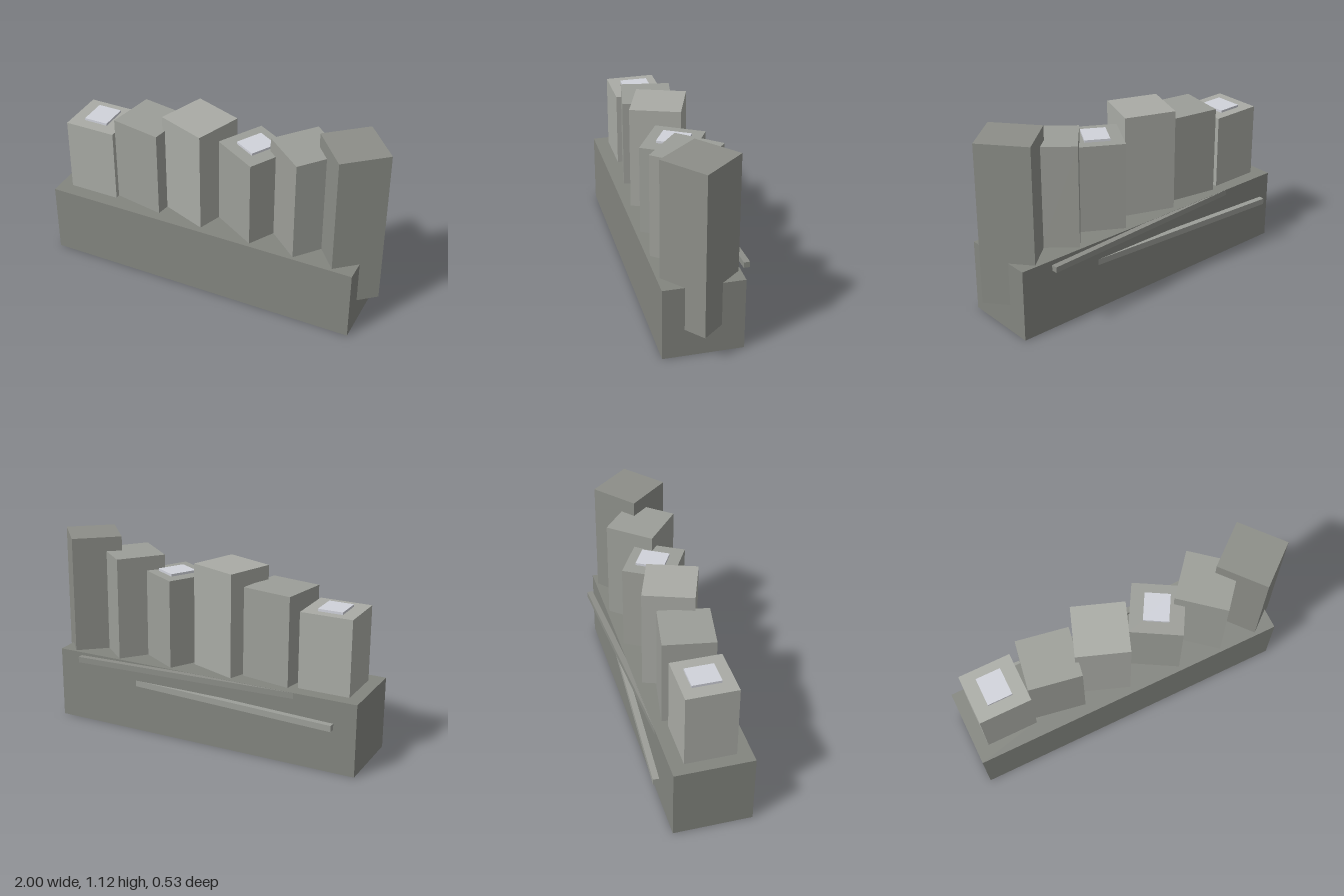
import * as THREE from 'three';

const rad = THREE.MathUtils.degToRad;

export function createModel() {
  const group = new THREE.Group();

  // Box standing on y0, turned clockwise (seen from above) by deg
  function block(name, color, w, d, y0, y1, x, z, deg = 0) {
    const mesh = new THREE.Mesh(
      new THREE.BoxGeometry(w, y1 - y0, d),
      new THREE.MeshStandardMaterial({ color, flatShading: true })
    );
    mesh.name = name;
    mesh.position.set(x, (y0 + y1) / 2, z);
    mesh.rotation.y = -rad(deg);
    group.add(mesh);
    return mesh;
  }

  // Long plinth
  block('base', 0x83857f, 1.9, 0.455, 0, 0.427, -0.05, 0.0375);

  // Row of towers, each turned 10 degrees further than the last
  const light = 0xa9aba5, mid = 0x9c9e98, dark = 0x8c8e88;
  const towers = [
    { x: -0.773, top: 0.87, color: light, plate: true },
    { x: -0.445, top: 0.952, color: mid },
    { x: -0.132, top: 1.036, color: light },
    { x: 0.215, top: 0.948, color: mid, plate: true },
    { x: 0.52, top: 1.032, color: mid },
    { x: 0.79, top: 1.117, color: dark },
  ];
  towers.forEach(({ x, top, color, plate }, i) => {
    const deg = i * 10;
    block('tower' + (i + 1), color, 0.305, 0.293, 0.167, top, x, 0.035, deg);
    // Thin pale plate on the roof
    if (plate) block('roofPlate' + (i + 1), 0xd0d2da, 0.145, 0.165, top - 0.01, top + 0.014, x, 0.028, deg);
  });

  // Slanting rails that emerge from the back wall
  const length = 1.5, half = length / 2;
  const a = rad(3.1), b = rad(3.6);
  block('upperRail', dark, length, 0.035, 0.392, 0.426,
    0.73 - half * Math.cos(a), -0.246 + half * Math.sin(a), -3.1);
  block('lowerRail', mid, length, 0.035, 0.278, 0.314,
    -0.884 + half * Math.cos(b), -0.252 + half * Math.sin(b), 3.6);

  return group;
}
